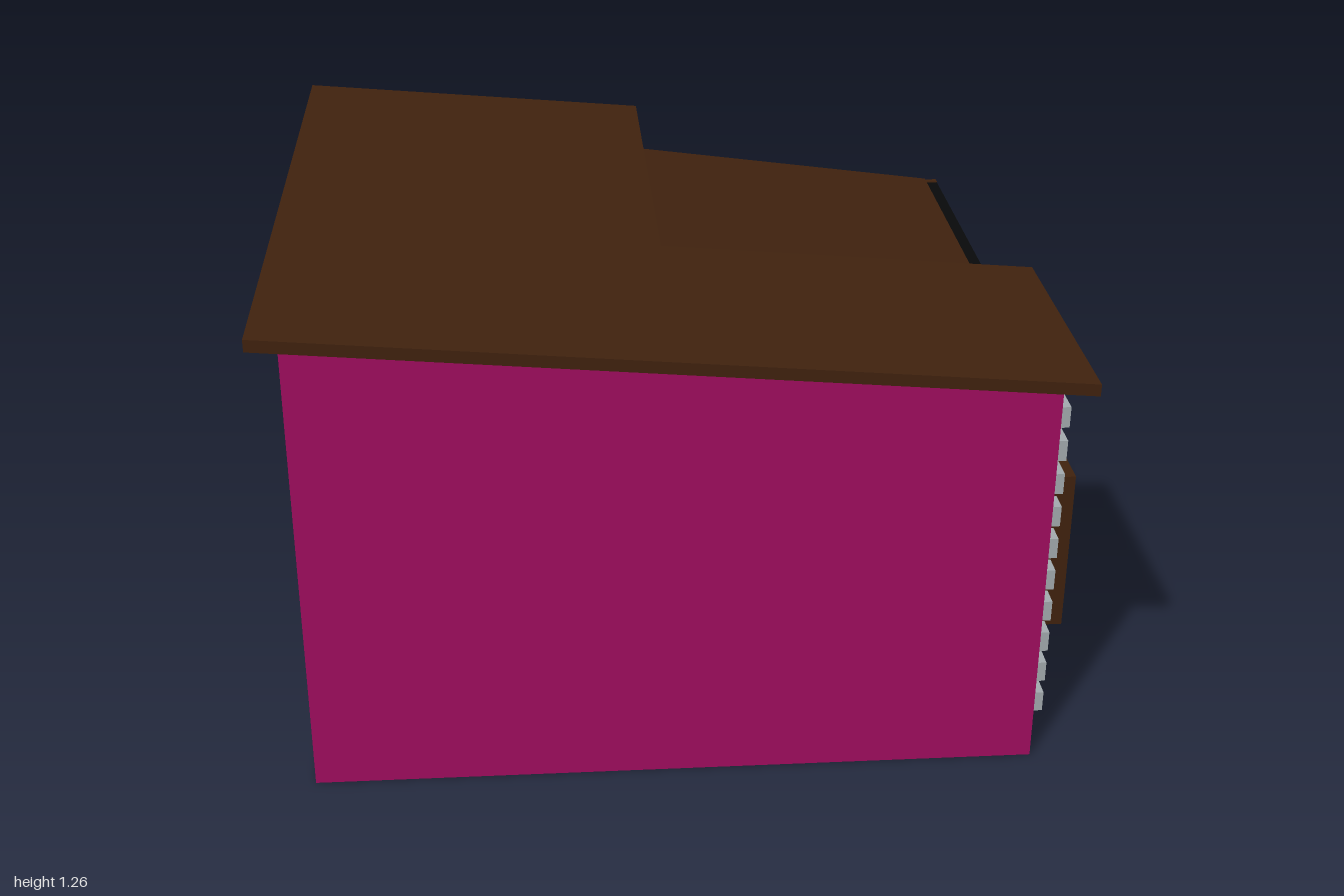
import * as THREE from 'three';

const mat = (name, color) => Object.assign(new THREE.MeshStandardMaterial({ color }), { name });

export function createModel() {
  const house = new THREE.Group();
  house.name = 'house';
  const wall = mat('magenta wall', 0x9f0d5e);
  const roof = mat('brown wood', 0x40220e);
  const grey = mat('grey cladding', 0xa2a9ad);
  const glass = mat('teal glass', 0x54a4a8);
  const black = mat('black trim', 0x08090a);

  const add = (parent, name, geo, material) => {
    const mesh = new THREE.Mesh(geo, material);
    mesh.name = name;
    parent.add(mesh);
    return mesh;
  };
  // Box given by its limits on each axis
  const box = (parent, name, material, [x0, x1], [y0, y1], [z0, z1]) => {
    const geo = new THREE.BoxGeometry(x1 - x0, y1 - y0, z1 - z0);
    geo.translate((x0 + x1) / 2, (y0 + y1) / 2, (z0 + z1) / 2);
    return add(parent, name, geo, material);
  };
  // Upright prism over a floor plan [x, z], with bottom and top heights as functions of x
  const prism = (name, material, plan, bottom, top) => {
    const shape = new THREE.Shape(plan.map(([x, z]) => new THREE.Vector2(x, -z)));
    const geo = new THREE.ExtrudeGeometry(shape, { depth: 1, bevelEnabled: false });
    geo.rotateX(-Math.PI / 2);
    const p = geo.attributes.position;
    for (let i = 0; i < p.count; i++) {
      p.setY(i, p.getY(i) > 0.5 ? top(p.getX(i)) : bottom(p.getX(i)));
    }
    geo.computeVertexNormals();
    return add(house, name, geo, material);
  };
  const lShape = (x0, x1, xi, z0, z1, zi) => [[x0, z1], [x1, z1], [x1, zi], [xi, zi], [xi, z0], [x0, z0]];

  // L-shaped body and its sloping roof
  const eaves = (x) => 1.225 - 0.0886 * (x + 1);
  prism('body', wall, lShape(-0.93, 0.9, -0.01, -0.85, 0.89, 0.24), () => 0, eaves);
  prism('mainRoof', roof, lShape(-1, 0.975, -0.01, -0.94, 0.935, 0.22), eaves, (x) => eaves(x) + 0.031);

  // Porch: diagonal entrance wall, ceiling beam block, corner post, wedge roof
  prism('entranceWall', wall, [[-0.01, -0.24], [0.49, 0.24], [-0.01, 0.24]], () => 0.004, () => 0.82);
  box(house, 'porchBeam', wall, [-0.02, 0.902], [0.81, 0.915], [-0.85, 0.28]);
  box(house, 'porchPost', wall, [0.77, 0.9], [0, 0.82], [-0.85, -0.72]);
  prism('porchRoof', roof, [[0, 0.25], [0.905, 0.25], [0.905, -0.91], [0, -0.91]],
    () => 0.9, (x) => 1.04 - 0.135 * x);
  box(house, 'porchRoofTip', roof, [0.9, 0.94], [0.902, 0.915], [-0.91, -0.89]);
  box(house, 'porchGutter', black, [0.9, 0.94], [0.904, 0.912], [-0.89, 0.22]);
  box(house, 'porchRoofEnd', black, [-0.004, 0], [0.9, 1.04], [-0.91, -0.85]);

  // Ribbed cladding on the side wall
  const cladding = new THREE.Group();
  cladding.name = 'cladding';
  house.add(cladding);
  box(cladding, 'claddingPanel', grey, [0.89, 0.93], [0.035, 1.045], [0.335, 0.775]);
  for (let i = 0; i < 11; i++) {
    const y = 0.055 + 0.0925 * i;
    box(cladding, 'claddingBoard', grey, [0.92, 0.955], [y, y + 0.056], [0.335, 0.775]);
  }

  // Two-pane window facing +x
  const makeWindow = (name, x0, x1, glassX, [y0, y1], [z0, z1], border, mullion) => {
    const g = new THREE.Group();
    g.name = name;
    house.add(g);
    const mid = (z0 + z1) / 2;
    for (const [a, b] of [[y0, y0 + border], [y1 - border, y1]]) {
      box(g, 'windowRail', roof, [x0, x1], [a, b], [z0, z1]);
    }
    for (const [a, b] of [[z0, z0 + border], [mid - mullion / 2, mid + mullion / 2], [z1 - border, z1]]) {
      box(g, 'windowStile', roof, [x0, x1], [y0 + border, y1 - border], [a, b]);
    }
    box(g, 'windowGlass', glass, [glassX - 0.008, glassX],
      [y0 + border, y1 - border], [z0 + border, z1 - border]);
  };
  makeWindow('sideWindow', 0.9, 1, 0.965, [0.285, 0.72], [0.36, 0.72], 0.013, 0.022);
  makeWindow('porchWindow', -0.02, 0.07, 0.06, [0.28, 0.67], [-0.755, -0.37], 0.021, 0.045);

  // Door set in the diagonal wall; local +z points out of the wall
  const door = new THREE.Group();
  door.name = 'door';
  door.position.set(0.24, 0, 0);
  door.rotation.y = Math.atan2(0.48, -0.5);
  house.add(door);
  for (const s of [-1, 1]) {
    const edges = [s * 0.16, s * 0.185].sort((a, b) => a - b);
    box(door, 'doorJamb', grey, edges, [0, 0.67], [-0.2, 0.06]);
  }
  box(door, 'doorLintel', grey, [-0.16, 0.16], [0.57, 0.67], [-0.2, 0.06]);
  box(door, 'doorPanel', grey, [-0.16, 0.16], [0, 0.57], [-0.2, 0.006]);
  return house;
}
